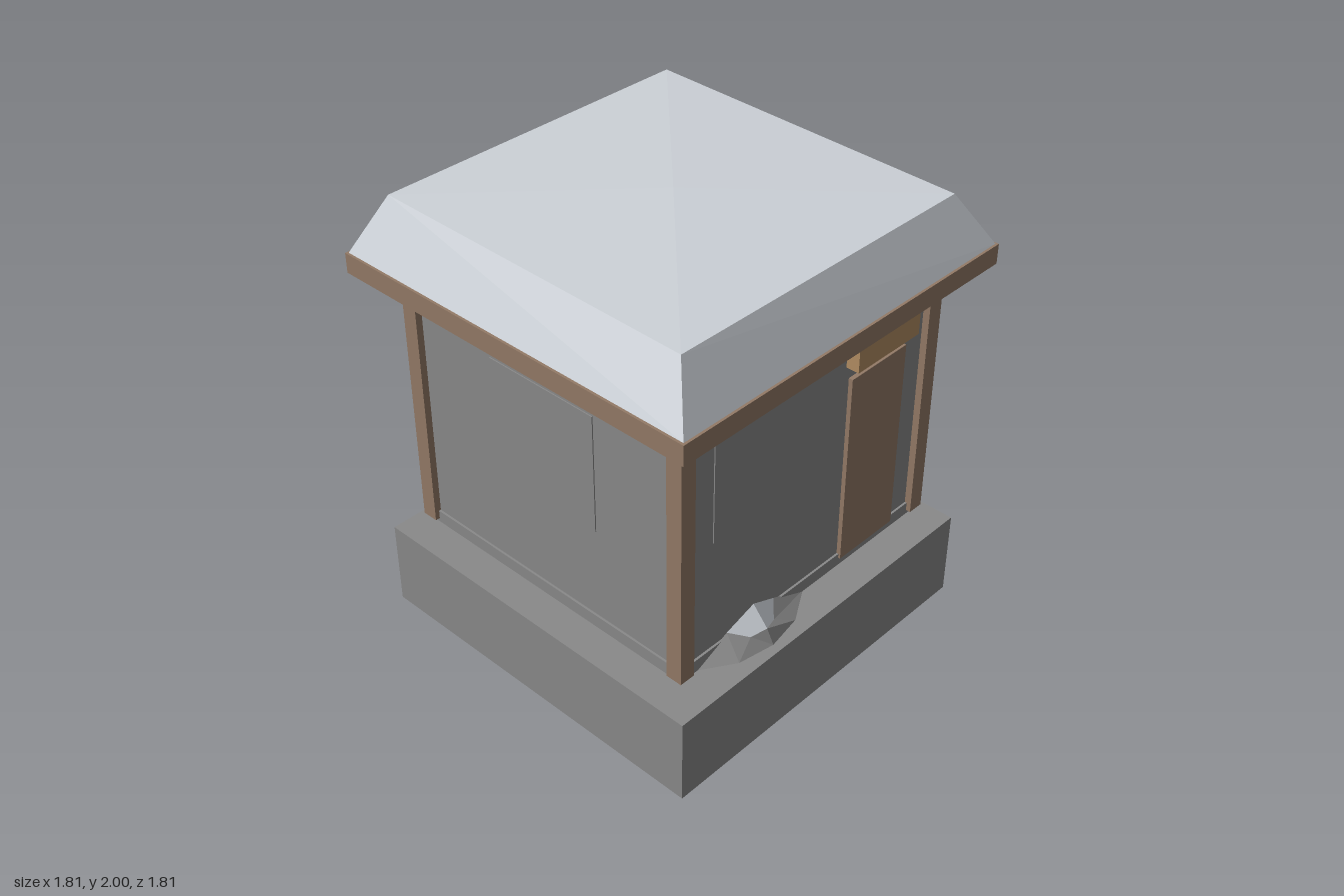
import * as THREE from 'three';

const material = (name, color, extra = {}) => {
  const m = new THREE.MeshStandardMaterial({ color, ...extra });
  m.name = name;
  return m;
};

// Flat-shaded surface from a list of triangles (each three [x, y, z] corners)
function facets(triangles) {
  const g = new THREE.BufferGeometry();
  g.setAttribute('position', new THREE.Float32BufferAttribute(triangles.flat(2), 3));
  g.computeVertexNormals();
  return g;
}

// Triangles joining two rows of points, the upper row first
function strip(upper, lower, closed = false) {
  const out = [];
  const n = upper.length;
  for (let i = 0; i < (closed ? n : n - 1); i++) {
    const j = (i + 1) % n;
    out.push([upper[i], lower[i], lower[j]], [upper[i], lower[j], upper[j]]);
  }
  return out;
}

// Triangles joining an apex to a row of points
function fan(apex, row, closed = false) {
  const out = [];
  const n = row.length;
  for (let i = 0; i < (closed ? n : n - 1); i++) out.push([apex, row[i], row[(i + 1) % n]]);
  return out;
}

export function createModel() {
  const stone = material('stone grey', 0x8a8a8a, { side: THREE.DoubleSide });
  const wood = material('brown wood', 0x947b67);
  const signWood = material('light wood', 0xb48e63);
  const snow = material('snow', 0xcdd2d8, { side: THREE.DoubleSide });

  const group = new THREE.Group();
  group.name = 'snowyHut';
  const add = (name, geometry, mat) => {
    const mesh = new THREE.Mesh(geometry, mat);
    mesh.name = name;
    group.add(mesh);
    return mesh;
  };
  // Box given by its lower and upper corners
  const box = (name, mat, [x0, y0, z0], [x1, y1, z1]) => {
    const g = new THREE.BoxGeometry(x1 - x0, y1 - y0, z1 - z0);
    g.translate((x0 + x1) / 2, (y0 + y1) / 2, (z0 + z1) / 2);
    return add(name, g, mat);
  };

  // Hollow base, open underneath
  const rect = (x0, x1, z0, z1, y) => [[x0, y, z1], [x1, y, z1], [x1, y, z0], [x0, y, z0]];
  const baseTop = rect(-0.9, 0.8, -0.8, 0.9, 0.4);
  const baseFoot = rect(-0.9, 0.8, -0.8, 0.9, 0);
  add('base', facets([
    ...strip(baseTop, baseFoot, true),
    [baseTop[0], baseTop[1], baseTop[2]], [baseTop[0], baseTop[2], baseTop[3]],
  ]), stone);

  // Sill and walls
  box('sill', stone, [-0.74, 0.401, -0.74], [0.74, 0.46, 0.74]);
  box('walls', stone, [-0.73, 0.46, -0.73], [0.73, 1.64, 0.73]);

  // Corner posts
  for (const sx of [-1, 1]) for (const sz of [-1, 1]) {
    const post = add('cornerPost', new THREE.BoxGeometry(0.075, 1.22, 0.075), wood);
    post.position.set(sx * 0.724, 1.03, sz * 0.724);
  }

  // Window panels on the front and both sides
  box('frontWindow', stone, [-0.555, 0.99, 0.728], [-0.085, 1.48, 0.735]);
  for (const s of [-1, 1]) {
    const side = add('sideWindow', new THREE.BoxGeometry(0.007, 0.55, 0.565), stone);
    side.position.set(s * 0.7315, 1.17, 0);
  }

  // Door and the board above it
  box('door', wood, [0.22, 0.44, 0.72], [0.56, 1.35, 0.75]);
  box('doorSign', signWood, [0.2, 1.41, 0.725], [0.58, 1.61, 0.79]);

  // Roof board
  box('roofBoard', wood, [-0.905, 1.64, -0.905], [0.905, 1.73, 0.905]);

  // Snow cover with sloped sides and a slightly uneven, peaked top
  const eave = rect(-0.895, 0.895, -0.895, 0.895, 1.731);
  const rim = rect(-0.77, 0.77, -0.77, 0.765, 0);
  [1.965, 1.955, 1.98, 1.985].forEach((y, i) => { rim[i][1] = y; });
  add('roofSnow', facets([...strip(rim, eave, true), ...fan([0, 2, 0], rim, true)]), snow);

  // Small mound by the front wall with a snow cap
  const peak = [-0.33, 0.55, 0.75];
  const capEdge = [[-0.47, 0.48, 0.735], [-0.4, 0.45, 0.8], [-0.33, 0.465, 0.825],
    [-0.26, 0.45, 0.8], [-0.19, 0.48, 0.735]];
  const moundFoot = [[-0.65, 0.4, 0.735], [-0.5, 0.4, 0.83], [-0.33, 0.4, 0.86],
    [-0.16, 0.4, 0.83], [0, 0.4, 0.735]];
  add('moundCap', facets(fan(peak, capEdge)), snow);
  add('mound', facets(strip(capEdge, moundFoot)), stone);

  return group;
}
